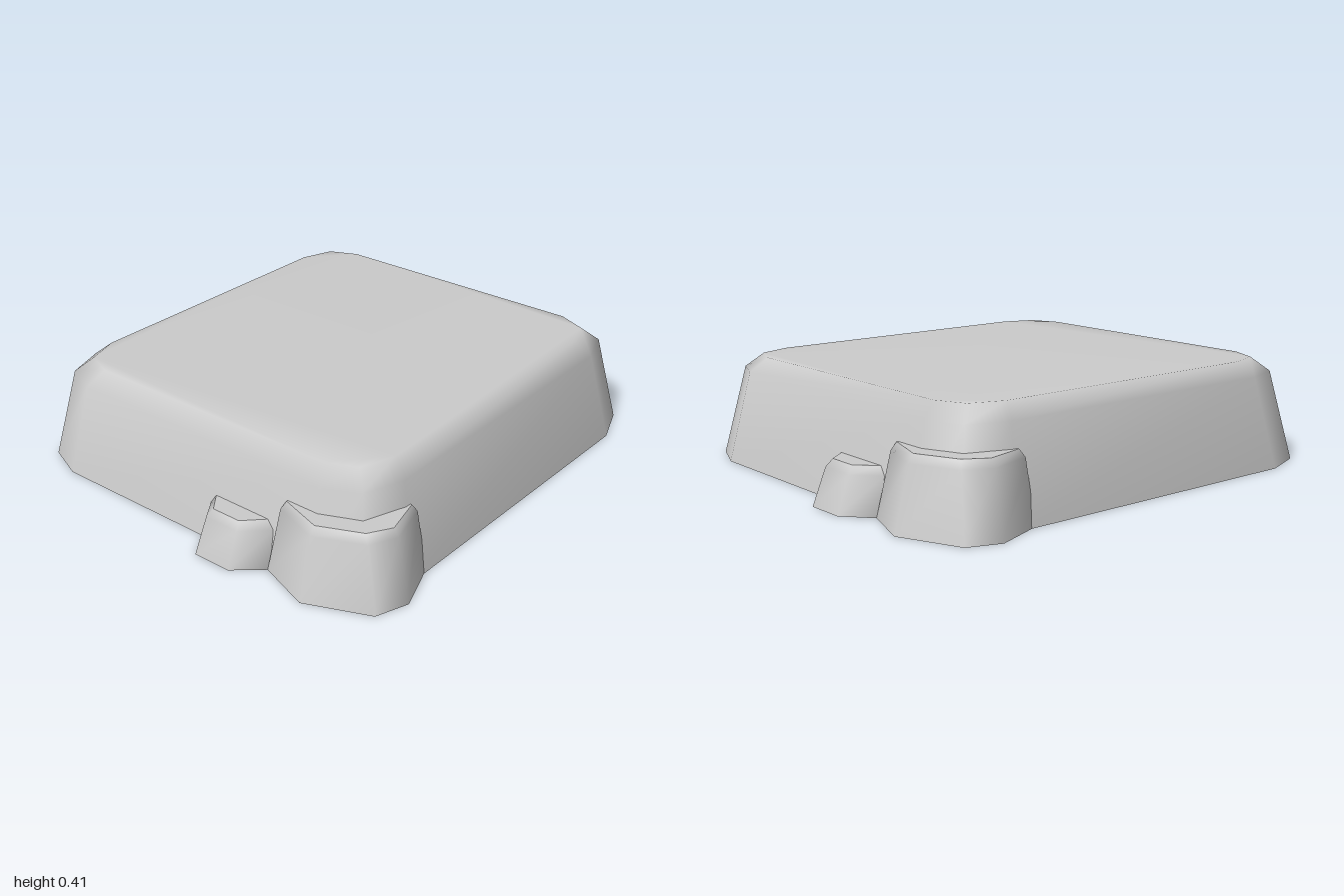
import * as THREE from 'three';

const material = new THREE.MeshStandardMaterial({ color: 0xcccccc, side: THREE.DoubleSide });

// Open-bottomed loft through [y, [[x, z], ...]] rings, counter-clockwise from above.
function loft(name, rings, sharpCap) {
  const n = rings[0][1].length;
  const pos = [], index = [];
  const addRing = ([y, pts]) => pts.forEach(([x, z]) => pos.push(x, y, z));
  rings.forEach(addRing);
  for (let r = 0; r < rings.length - 1; r++) {
    for (let i = 0; i < n; i++) {
      const a = r * n + i, b = r * n + (i + 1) % n;
      index.push(a, b, b + n, a, b + n, a + n);
    }
  }
  const top = rings[rings.length - 1];
  if (sharpCap) addRing(top);
  const base = pos.length / 3 - n;
  const outline = top[1].map(([x, z]) => new THREE.Vector2(x, -z));
  THREE.ShapeUtils.triangulateShape(outline, []).forEach((f) => index.push(...f.map((v) => v + base)));
  const geo = new THREE.BufferGeometry();
  geo.setAttribute('position', new THREE.Float32BufferAttribute(pos, 3));
  geo.setIndex(index);
  geo.computeVertexNormals();
  const mesh = new THREE.Mesh(geo, material);
  mesh.name = name;
  return mesh;
}

// Rectangle with two-step rounded corners, from its three points in the +x +z corner.
function roundedRing(corner) {
  const back = [...corner].reverse();
  return [
    ...corner,
    ...back.map(([x, z]) => [x, -z]),
    ...corner.map(([x, z]) => [-x, -z]),
    ...back.map(([x, z]) => [-x, z]),
  ];
}

// The two rocks that wrap one corner of the slab
function createRocks() {
  const rocks = new THREE.Group();
  rocks.add(loft('cornerRock', [
    [0, [[0.41, 0.91], [0.62, 0.985], [0.86, 0.885], [0.905, 0.76], [0.83, 0.56],
      [0.74, 0.56], [0.69, 0.68], [0.56, 0.76], [0.40, 0.76]]],
    [0.235, [[0.435, 0.865], [0.62, 0.928], [0.80, 0.85], [0.85, 0.75], [0.80, 0.58],
      [0.74, 0.58], [0.69, 0.70], [0.57, 0.77], [0.42, 0.77]]],
    [0.265, [[0.45, 0.85], [0.62, 0.905], [0.78, 0.835], [0.83, 0.75], [0.79, 0.60],
      [0.75, 0.60], [0.70, 0.71], [0.58, 0.78], [0.44, 0.78]]],
  ], true));
  rocks.add(loft('smallRock', [
    [0, [[0.07, 0.87], [0.15, 1.0], [0.305, 1.0], [0.415, 0.905], [0.37, 0.80], [0.12, 0.80]]],
    [0.14, [[0.10, 0.855], [0.168, 0.955], [0.312, 0.955], [0.405, 0.87], [0.36, 0.80], [0.14, 0.80]]],
    [0.17, [[0.12, 0.85], [0.185, 0.935], [0.305, 0.935], [0.385, 0.855], [0.35, 0.81], [0.15, 0.81]]],
  ], true));
  return rocks;
}

export function createModel() {
  const model = new THREE.Group();
  model.name = 'stoneSlab';

  // Tapered hollow slab with a bevelled top edge
  model.add(loft('slab', [
    [0, roundedRing([[0.615, 0.90], [0.775, 0.835], [0.84, 0.66]])],
    [0.355, roundedRing([[0.57, 0.825], [0.71, 0.765], [0.765, 0.61]])],
    [0.41, roundedRing([[0.54, 0.76], [0.655, 0.71], [0.70, 0.58]])],
  ], false));

  // Rocks on two opposite corners
  ['frontLeftRocks', 'backRightRocks'].forEach((name, i) => {
    const rocks = createRocks();
    rocks.name = name;
    rocks.rotation.y = i * Math.PI;
    model.add(rocks);
  });
  return model;
}
